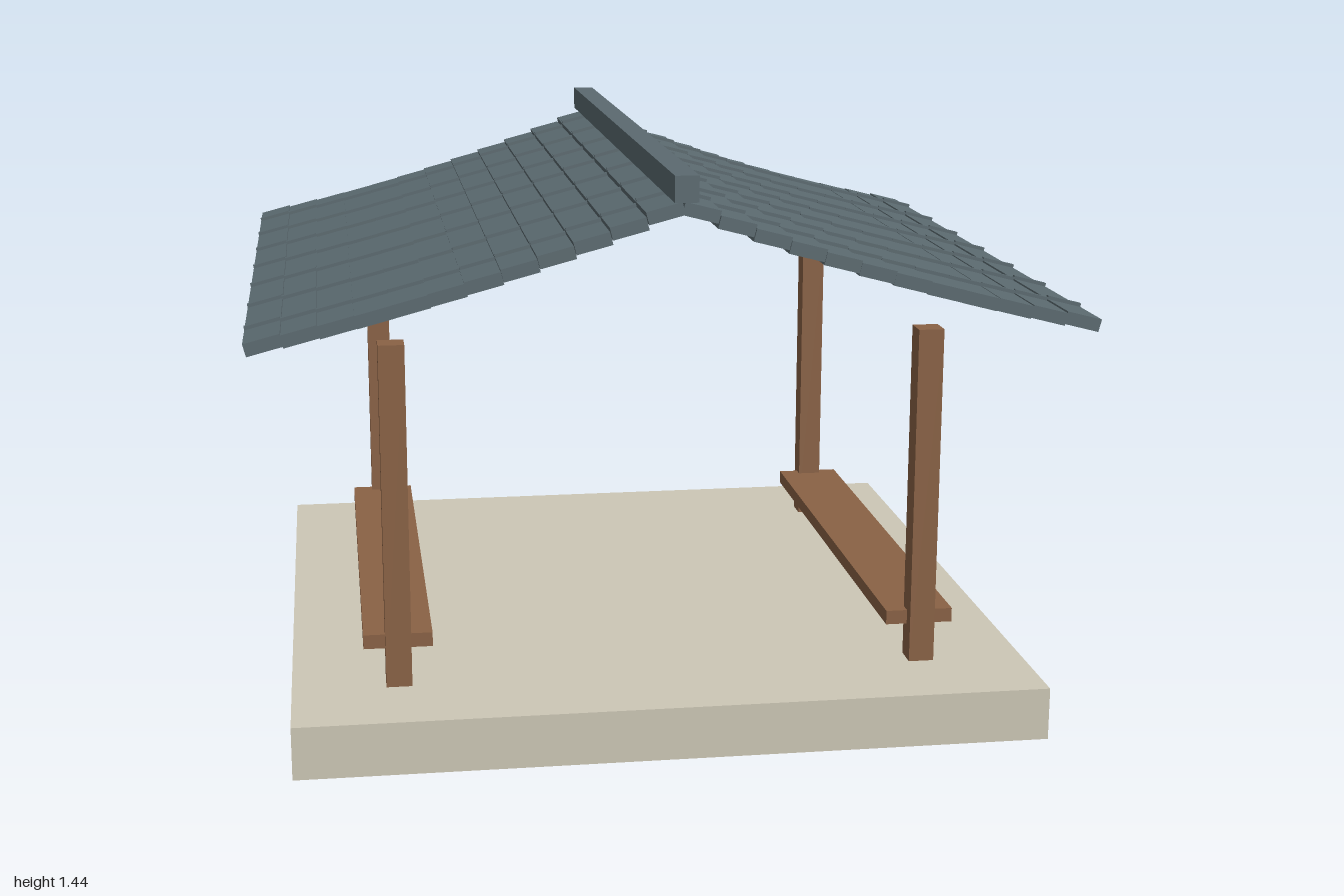
import * as THREE from 'three';

const stone = new THREE.MeshStandardMaterial({ color: 0xcdc7b6 });
const wood = new THREE.MeshStandardMaterial({ color: 0x8a6245 });
const tile = new THREE.MeshStandardMaterial({ color: 0x5b6a70 });

function box(parent, name, material, size, position) {
  const mesh = new THREE.Mesh(new THREE.BoxGeometry(...size), material);
  mesh.name = name;
  mesh.position.set(...position);
  parent.add(mesh);
  return mesh;
}

// One sagging roof slope: overlapping tile courses, each with ribs across it
function roofSlope(side) {
  const slope = new THREE.Group();
  slope.name = side > 0 ? 'leftRoofSlope' : 'rightRoofSlope';
  const rows = 12, width = 1 / rows;
  for (let i = 0; i < rows; i++) {
    const x = (i + 0.5) * width;
    const course = new THREE.Group();
    course.name = 'tileCourse';
    course.position.set(side * x, 1.362 - 0.42 * x + 0.115 * x * x, 0);
    course.rotation.z = -side * 0.255;
    box(course, 'tiles', tile, [0.087, 0.031, 1.914], [0, 0, 0]);
    for (let k = -3; k <= 3; k++) {
      box(course, 'rib', tile, [0.086, 0.012, 0.014], [0, 0.018, k * 0.266]);
    }
    slope.add(course);
  }
  return slope;
}

export function createModel() {
  const model = new THREE.Group();
  model.name = 'pavilion';

  box(model, 'base', stone, [1.86, 0.133, 1.86], [0, 0.0665, 0]);

  for (const side of [-1, 1]) {
    // Posts at the corners, with a bench between each front and back pair
    for (const end of [-1, 1]) {
      box(model, 'post', wood, [0.064, 0.867, 0.064], [side * 0.665, 0.5665, end * 0.665]);
    }
    box(model, 'bench', wood, [0.172, 0.036, 1.33], [side * 0.665, 0.242, 0]);
    model.add(roofSlope(side));
  }

  box(model, 'ridgeBeam', tile, [0.056, 0.062, 2], [0, 1.406, 0]);
  return model;
}
